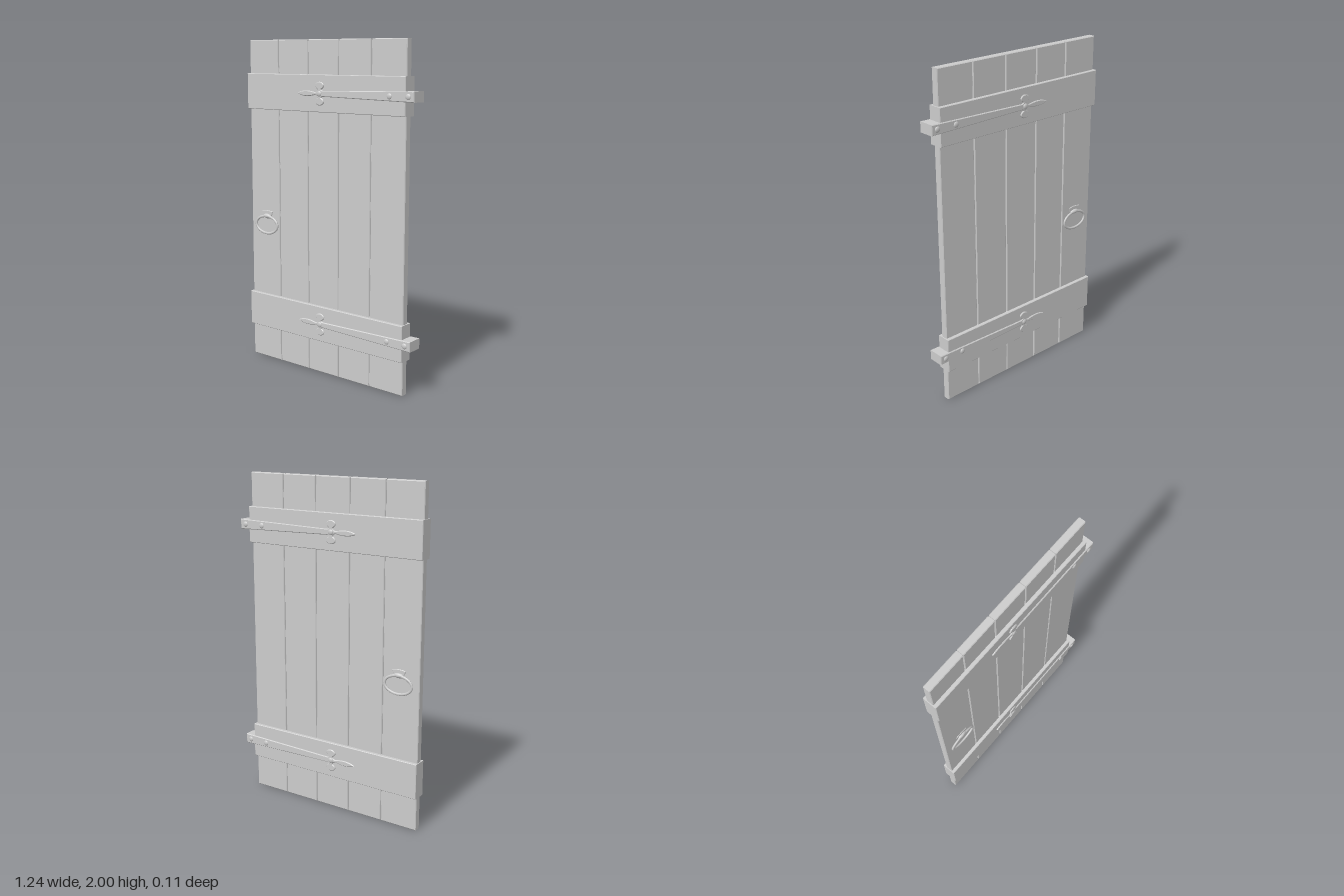
import * as THREE from 'three';
import { toCreasedNormals } from 'three/addons/utils/BufferGeometryUtils.js';

const grey = new THREE.MeshStandardMaterial({ color: 0xcccccc });
grey.name = 'plain grey';

function add(parent, name, geometry, x = 0, y = 0, z = 0) {
  const mesh = new THREE.Mesh(geometry, grey);
  mesh.name = name;
  mesh.position.set(x, y, z);
  parent.add(mesh);
  return mesh;
}

// Extrusion centred on z = 0, with a small bevel kept inside the outline
function slab(shape, depth, bevel) {
  const geometry = new THREE.ExtrudeGeometry(shape, {
    depth: depth - 2 * bevel, bevelEnabled: true, bevelThickness: bevel,
    bevelSize: bevel, bevelOffset: -bevel, bevelSegments: 1, curveSegments: 8,
  });
  geometry.translate(0, 0, -depth / 2 + bevel);
  return toCreasedNormals(geometry, 0.5);
}

function rectangle(x0, x1, y0, y1) {
  return new THREE.Shape([[x0, y0], [x1, y0], [x1, y1], [x0, y1]].map(p => new THREE.Vector2(...p)));
}

// Tapered strap ending in a pointed leaf with two round side lobes
function strapShape() {
  const s = new THREE.Shape();
  s.moveTo(-0.207, 0);
  s.bezierCurveTo(-0.185, -0.016, -0.13, -0.022, -0.075, -0.008);
  s.quadraticCurveTo(-0.054, -0.008, -0.053, -0.024);
  s.bezierCurveTo(-0.09, -0.045, -0.065, -0.068, -0.04, -0.068);
  s.bezierCurveTo(-0.015, -0.068, 0.01, -0.045, -0.027, -0.024);
  s.quadraticCurveTo(-0.026, -0.017, -0.012, -0.017);
  s.lineTo(0.615, -0.03);
  s.lineTo(0.615, 0.03);
  s.lineTo(-0.012, 0.017);
  s.quadraticCurveTo(-0.026, 0.017, -0.027, 0.024);
  s.bezierCurveTo(0.01, 0.045, -0.015, 0.068, -0.04, 0.068);
  s.bezierCurveTo(-0.065, 0.068, -0.09, 0.045, -0.053, 0.024);
  s.quadraticCurveTo(-0.054, 0.008, -0.075, 0.008);
  s.bezierCurveTo(-0.13, 0.022, -0.185, 0.016, -0.207, 0);
  return s;
}

// Oval pull ring hanging from a small arched mount
function ringHandle(side) {
  const handle = new THREE.Group();
  handle.name = side > 0 ? 'frontHandle' : 'backHandle';
  const ring = new THREE.TorusGeometry(1, 0.09, 10, 40);
  const p = ring.attributes.position;
  for (let i = 0; i < p.count; i++) {
    const x = p.getX(i), y = p.getY(i), r = Math.hypot(x, y);
    const offset = (r - 1) / 0.09 * 0.008;
    p.setXYZ(i, x / r * (0.088 + offset), y / r * (0.054 + offset), p.getZ(i) * 0.07);
  }
  ring.computeVertexNormals();
  add(handle, 'pullRing', ring, 0, 0, 0.031);

  const plate = new THREE.Shape();
  plate.moveTo(-0.03, 0.046);
  plate.quadraticCurveTo(0, 0.03, 0.03, 0.046);
  plate.lineTo(0.045, 0.085);
  plate.quadraticCurveTo(0, 0.096, -0.045, 0.085);
  plate.closePath();
  add(handle, 'mountPlate', slab(plate, 0.01, 0.003), 0, 0, 0.021);

  const loop = new THREE.SphereGeometry(1, 16, 10);
  loop.scale(0.032, 0.014, 0.014);
  add(handle, 'ringHolder', loop, 0, 0.055, 0.026);
  handle.position.set(-0.486, 0.867, 0);
  if (side < 0) handle.rotation.y = Math.PI;
  return handle;
}

export function createModel() {
  const door = new THREE.Group();
  door.name = 'plankDoor';

  // Five upright planks with chamfered edges
  const edges = [-0.62, -0.381, -0.15, 0.081, 0.312, 0.55];
  for (let i = 0; i < 5; i++) {
    add(door, 'plank', slab(rectangle(edges[i] + 0.002, edges[i + 1] - 0.002, 0, 2), 0.044, 0.004));
  }
  // Backing strip that closes the joints
  add(door, 'jointCore', new THREE.BoxGeometry(1.14, 1.98, 0.028), -0.035, 1, 0);

  // Cross boards, hinge straps and rivets at both heights
  const rivet = new THREE.SphereGeometry(1, 16, 8);
  rivet.scale(0.017, 0.017, 0.008);
  for (const [name, y] of [['lower', 0.312], ['upper', 1.692]]) {
    add(door, name + 'CrossBoard', slab(rectangle(-0.623, 0.555, y - 0.107, y + 0.108), 0.086, 0.003));
    const hinge = new THREE.Group();
    hinge.name = name + 'Hinge';
    hinge.position.y = y;
    add(hinge, 'strap', slab(strapShape(), 0.1, 0.004));
    for (const side of [-1, 1]) {
      for (const x of [-0.04, 0.455, 0.578]) add(hinge, 'rivet', rivet, x, 0, side * 0.049);
    }
    door.add(hinge);
  }

  // The back handle mirrors the front one
  door.add(ringHandle(1), ringHandle(-1));
  return door;
}
